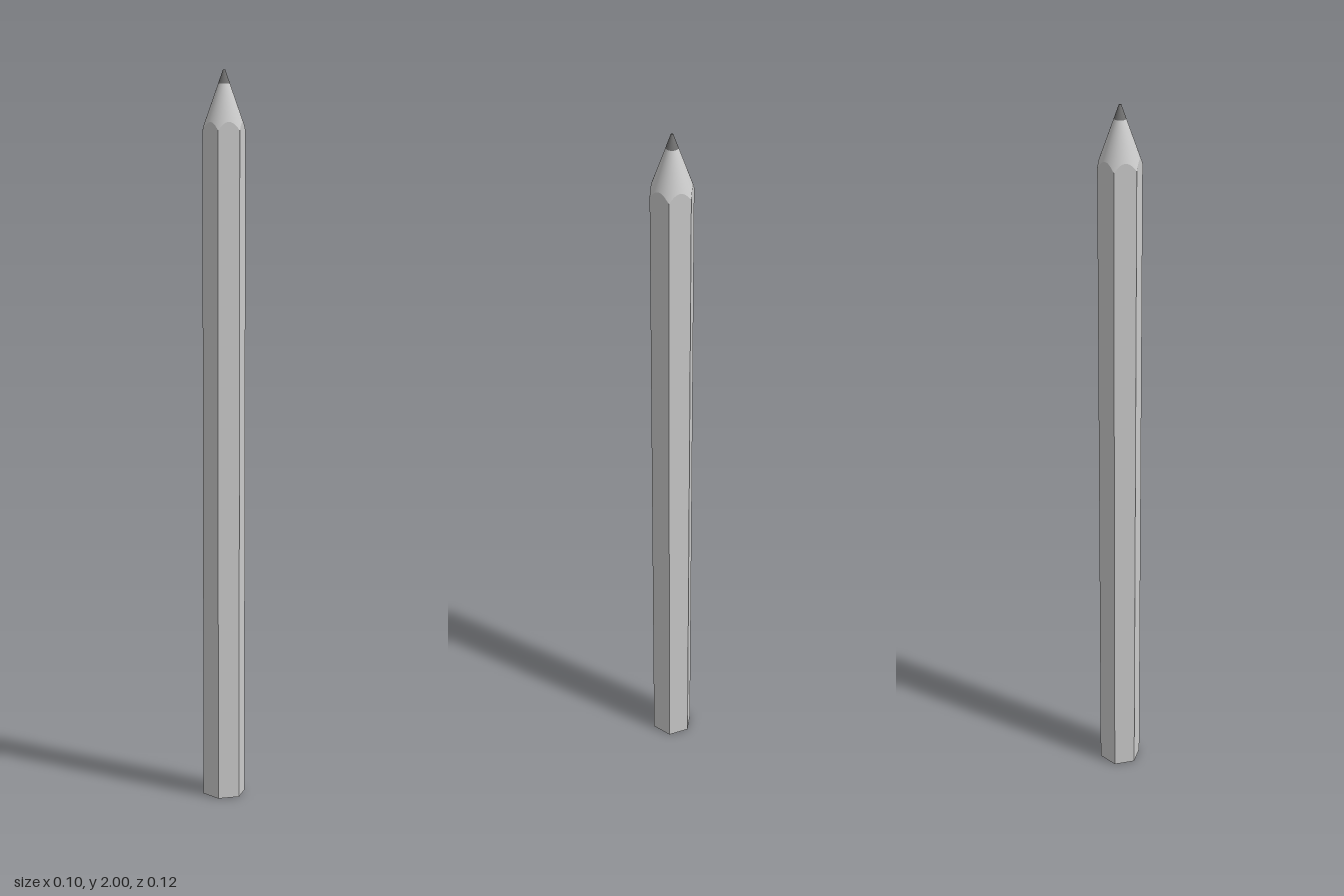
import * as THREE from 'three';

const APOTHEM = 0.0515, CORNER = APOTHEM / Math.cos(Math.PI / 6);
const LEAD = 0.016, TIP = 0.003, TOP = 2, SHOULDER = 1.84;
const SEGMENTS = 72;

// Sharpened cone: height at a given radius
const coneY = r => TOP - (TOP - SHOULDER) * (r - TIP) / (CORNER - TIP);

// Hexagon radius at an angle, with corners on +z and -z
function hexRadius(angle) {
  const step = Math.PI / 3;
  const local = ((angle % step) + step) % step - step / 2;
  return APOTHEM / Math.cos(local);
}

// Move one end ring of a tube onto the scalloped edge where cone meets hexagon
function fitEdge(geometry, isEdge) {
  const p = geometry.attributes.position;
  for (let i = 0; i < p.count; i++) {
    const a = Math.atan2(p.getX(i), p.getZ(i));
    const r = hexRadius(a + 1e-9);
    if (isEdge(p.getY(i))) p.setXYZ(i, r * Math.sin(a), coneY(r), r * Math.cos(a));
  }
  return geometry;
}

export function createModel() {
  const group = new THREE.Group();
  const grey = new THREE.MeshStandardMaterial({ color: 0xcccccc });
  const dark = new THREE.MeshStandardMaterial({ color: 0x707070 });
  const add = (name, geometry, material) => {
    const mesh = new THREE.Mesh(geometry, material);
    mesh.name = name;
    group.add(mesh);
    return mesh;
  };

  // Hexagonal barrel with a scalloped upper edge
  let barrel = new THREE.CylinderGeometry(CORNER, CORNER, SHOULDER, SEGMENTS, 1, true);
  barrel.translate(0, SHOULDER / 2, 0);
  fitEdge(barrel, y => y > 1);
  const p = barrel.attributes.position;
  for (let i = 0; i < p.count; i++) {
    if (p.getY(i) > 1) continue;
    const a = Math.atan2(p.getX(i), p.getZ(i)), r = hexRadius(a + 1e-9);
    p.setXYZ(i, r * Math.sin(a), 0, r * Math.cos(a));
  }
  barrel = barrel.toNonIndexed();
  barrel.computeVertexNormals();
  add('barrel', barrel, grey);

  // Smooth sharpened wood, cut back to meet the flats
  const leadY = coneY(LEAD);
  const wood = new THREE.CylinderGeometry(LEAD, CORNER, leadY - SHOULDER, SEGMENTS, 1, true);
  wood.translate(0, (leadY + SHOULDER) / 2, 0);
  add('sharpenedWood', fitEdge(wood, y => y < SHOULDER + 0.01), grey);

  // Exposed lead point with a tiny blunt end
  const lead = new THREE.CylinderGeometry(TIP, LEAD, TOP - leadY, 36);
  lead.translate(0, (TOP + leadY) / 2, 0);
  add('leadPoint', lead, dark);

  // Flat hexagonal base around the lead core
  const hexagon = new THREE.Shape();
  for (let i = 0; i < 6; i++) {
    const a = i * Math.PI / 3;
    hexagon[i ? 'lineTo' : 'moveTo'](CORNER * Math.sin(a), CORNER * Math.cos(a));
  }
  hexagon.closePath();
  hexagon.holes.push(new THREE.Path().absarc(0, 0, LEAD, 0, Math.PI * 2, true));
  add('base', new THREE.ShapeGeometry(hexagon, 18).rotateX(Math.PI / 2), grey);
  add('leadCore', new THREE.CircleGeometry(LEAD, 36).rotateX(Math.PI / 2), dark);

  return group;
}
